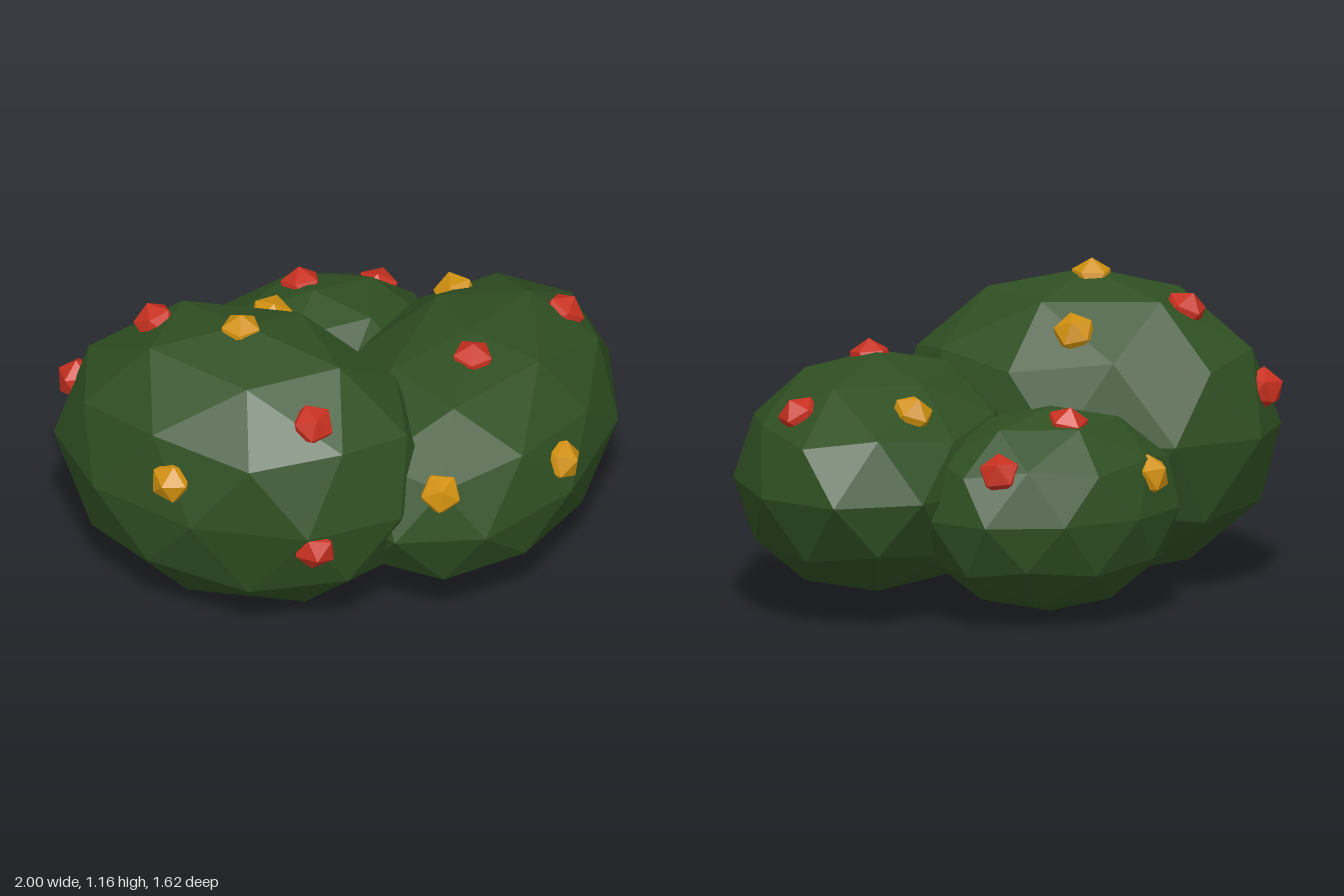
import * as THREE from 'three';

const UP = new THREE.Vector3(0, 1, 0);
const paint = (color) => new THREE.MeshStandardMaterial({ color, flatShading: true });

// Icosphere turned so that one corner points straight up
function poleSphere(radius, detail) {
  const geo = new THREE.IcosahedronGeometry(radius, detail);
  geo.rotateZ(Math.atan(2 / (1 + Math.sqrt(5))));
  geo.rotateY(Math.PI);
  return geo;
}

// Each clump: centre, radii, turn about y, and rough berry positions
const CLUMPS = [
  {
    name: 'frontClump', centre: [-0.32, 0.57, 0.25], radii: [0.70, 0.56, 0.493], turn: -0.382,
    red: [[-0.64, 1.02, 0.06], [-0.08, 0.94, 0.58], [-0.06, 0.5, 0.76], [-0.93, 0.73, 0.02]],
    orange: [[-0.33, 1.13, 0.24], [-0.57, 0.71, 0.62], [-0.22, 0.96, -0.06]],
  },
  {
    name: 'sideClump', centre: [0.48, 0.475, -0.03], radii: [0.497, 0.425, 0.74], turn: -0.36,
    red: [[0.49, 0.88, 0.08], [0.81, 0.76, -0.34]],
    orange: [[0.385, 0.66, 0.6], [0.82, 0.59, 0.31], [0.41, 0.78, -0.46]],
  },
  {
    name: 'backClump', centre: [-0.08, 0.4, -0.43], radii: [0.37, 0.37, 0.5], turn: 1.97,
    red: [[-0.13, 0.75, -0.54], [0.15, 0.6, -0.73]],
    orange: [[-0.45, 0.55, -0.57]],
  },
];

export function createModel() {
  const bush = new THREE.Group();
  bush.name = 'berryBush';
  const leaf = paint(0x2f4f22);
  const berryPaint = { red: paint(0xc8301f), orange: paint(0xd0900f) };
  const leafGeo = poleSphere(1, 1);
  const berryGeo = poleSphere(0.08, 0);

  for (const { name, centre, radii, turn, ...berries } of CLUMPS) {
    const clump = new THREE.Group();
    clump.name = name;
    clump.position.set(...centre);
    clump.rotation.y = turn;
    bush.add(clump);

    // Leafy mass
    const size = new THREE.Vector3(...radii);
    const foliage = new THREE.Mesh(leafGeo.clone().scale(...radii), leaf);
    foliage.name = 'foliage';
    clump.add(foliage);

    // Berries, snapped to the surface, half sunk and facing outwards
    for (const kind of ['red', 'orange']) {
      for (const spot of berries[kind]) {
        const unit = new THREE.Vector3(...spot).sub(clump.position)
          .applyAxisAngle(UP, -turn).divide(size).normalize();
        const normal = unit.clone().divide(size).normalize();
        const berry = new THREE.Mesh(berryGeo, berryPaint[kind]);
        berry.name = kind + 'Berry';
        berry.position.copy(unit).multiply(size).addScaledVector(normal, -0.043);
        berry.quaternion.setFromUnitVectors(UP, normal);
        clump.add(berry);
      }
    }
  }
  return bush;
}
